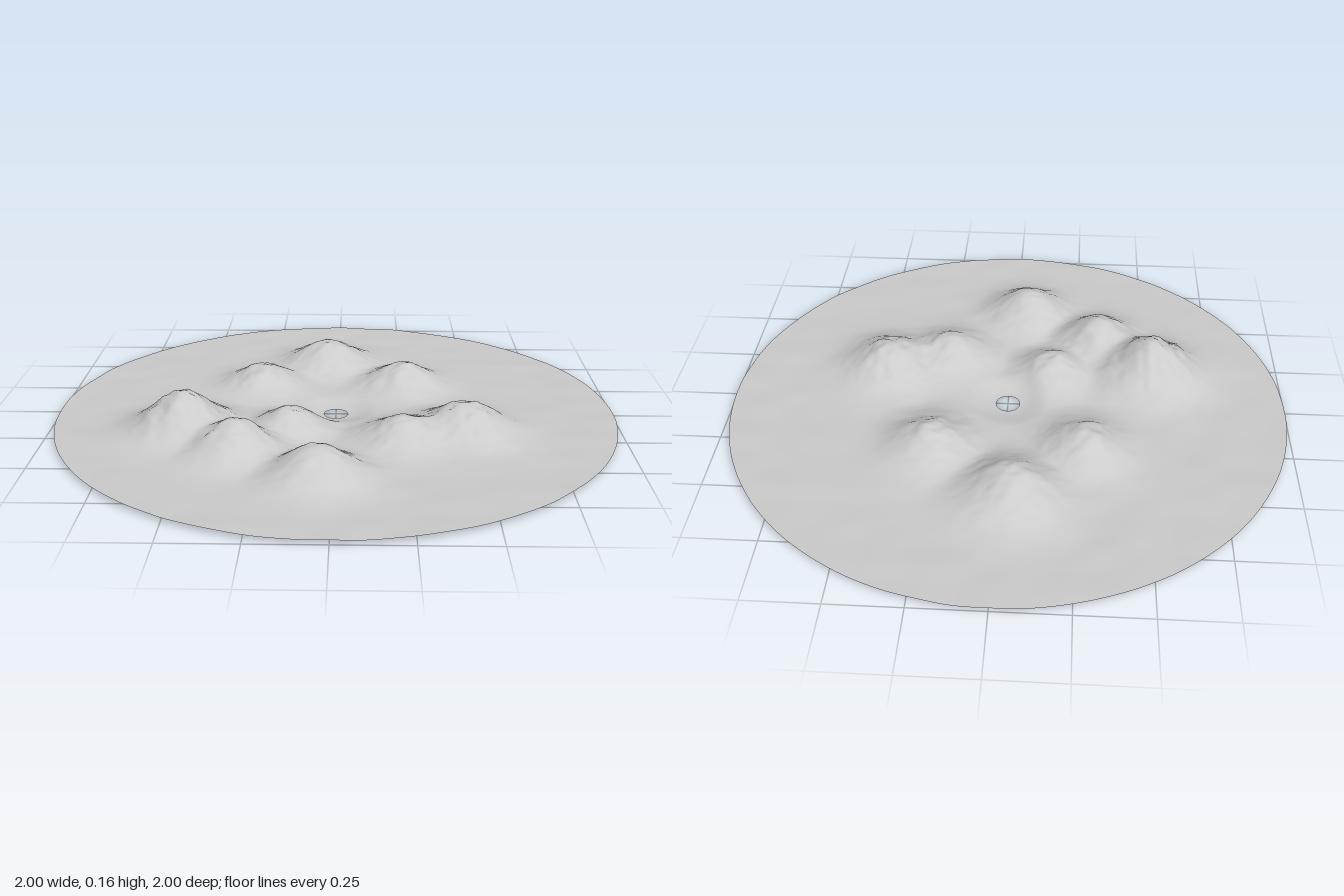
import * as THREE from 'three';

// Hills: x, z, height above the plain, spread
const HILLS = [
  [-0.52, 0.2, 0.142, 0.112],
  [-0.33, 0.38, 0.113, 0.1],
  [-0.16, 0.18, 0.08, 0.085],
  [-0.05, 0.57, 0.105, 0.1],
  [0.24, 0.27, 0.085, 0.1],
  [0.45, 0.19, 0.105, 0.108],
  [0.25, -0.27, 0.087, 0.1],
  [-0.28, -0.26, 0.085, 0.095],
  [-0.04, -0.5, 0.102, 0.108],
];
const HOLE = 0.043;
const PLAIN = 0.018;

// Smooth lattice noise in the range -1 to 1
function hash(i, j) {
  const s = Math.sin(i * 127.1 + j * 311.7) * 43758.5453;
  return (s - Math.floor(s)) * 2 - 1;
}
function noise(x, z) {
  const i = Math.floor(x), j = Math.floor(z);
  const u = THREE.MathUtils.smoothstep(x - i, 0, 1);
  const v = THREE.MathUtils.smoothstep(z - j, 0, 1);
  const { lerp } = THREE.MathUtils;
  return lerp(
    lerp(hash(i, j), hash(i + 1, j), u),
    lerp(hash(i, j + 1), hash(i + 1, j + 1), u), v);
}

// Height of the ground: blended bell-shaped hills, rough on the slopes
function groundHeight(x, z) {
  let sum = 0;
  for (const [cx, cz, h, spread] of HILLS) {
    const d2 = (x - cx) ** 2 + (z - cz) ** 2;
    sum += (h * Math.exp(-d2 / (2 * spread * spread))) ** 3;
  }
  const hill = Math.cbrt(sum);
  const rough = 0.6 * noise(x * 22, z * 26) + 0.4 * noise(x * 45 + 9, z * 50 + 4);
  const swell = 0.002 * noise(x * 9 + 3, z * 12 + 7);
  // The ground sinks to a shallow dish around the central opening
  const r = Math.hypot(x, z);
  const rise = THREE.MathUtils.smoothstep(r, HOLE, 0.15);
  return 0.004 + rise * (PLAIN - 0.004 + swell + hill * (1 + 0.1 * rough));
}

export function createModel() {
  const group = new THREE.Group();
  group.name = 'hillyDisc';

  // Ring-shaped sheet, raised by the height rule
  const geometry = new THREE.RingGeometry(HOLE, 1, 240, 130);
  geometry.rotateX(-Math.PI / 2);
  const p = geometry.attributes.position;
  for (let i = 0; i < p.count; i++) p.setY(i, groundHeight(p.getX(i), p.getZ(i)));
  geometry.computeVertexNormals();

  // Match the normals where the ring closes
  const n = geometry.attributes.normal;
  const a = new THREE.Vector3(), b = new THREE.Vector3();
  for (let row = 0; row <= 130; row++) {
    const first = row * 241, last = first + 240;
    a.fromBufferAttribute(n, first).add(b.fromBufferAttribute(n, last)).normalize();
    n.setXYZ(first, a.x, a.y, a.z);
    n.setXYZ(last, a.x, a.y, a.z);
  }

  const terrain = new THREE.Mesh(geometry,
    new THREE.MeshStandardMaterial({ color: 0xcccccc, side: THREE.DoubleSide }));
  terrain.name = 'terrain';
  group.add(terrain);
  return group;
}
